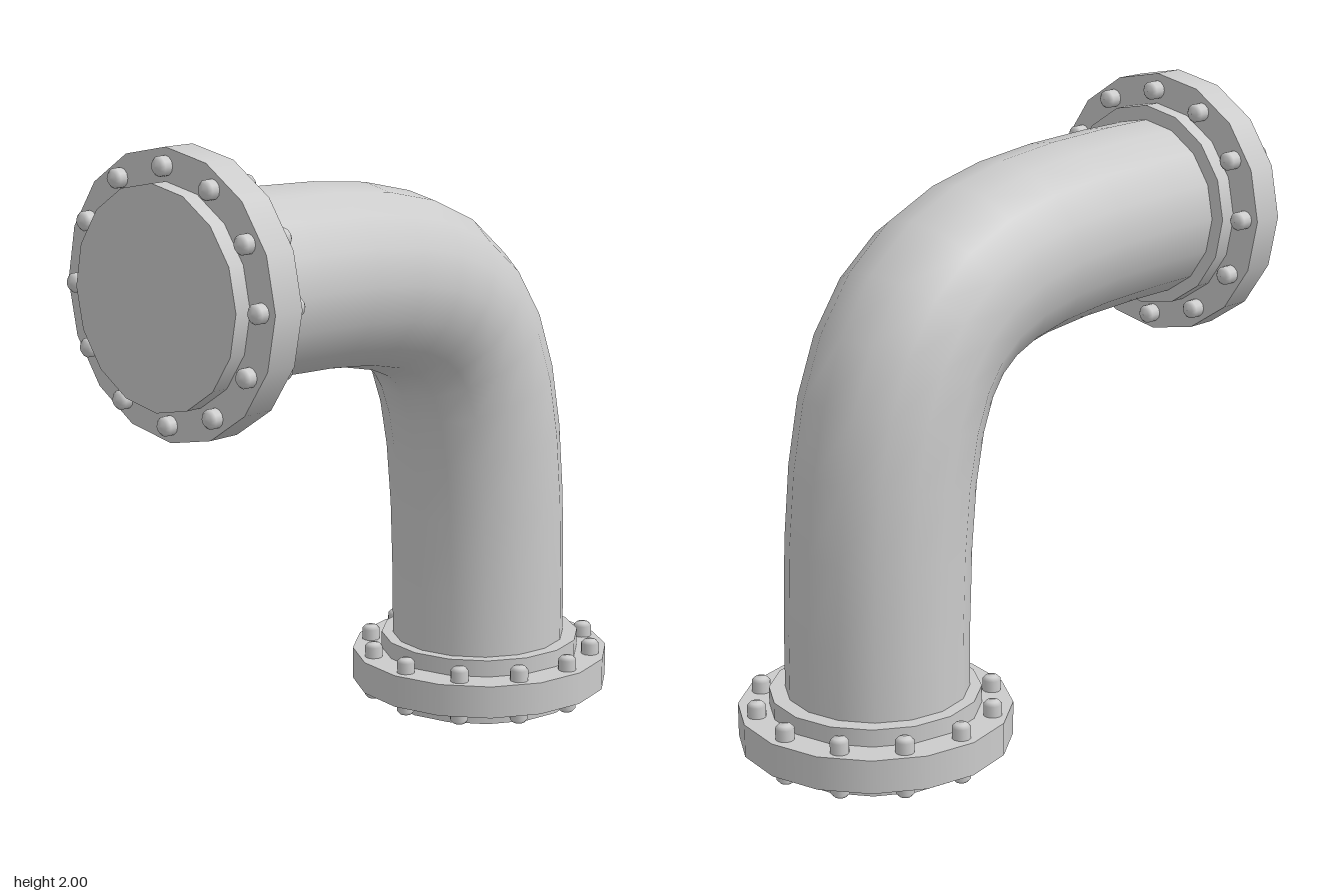
import * as THREE from 'three';

const SIDES = 16;
const BOLTS = 12;
const material = new THREE.MeshStandardMaterial({ color: 0xcccccc });

function addMesh(parent, name, geometry) {
  const mesh = new THREE.Mesh(geometry, material);
  mesh.name = name;
  parent.add(mesh);
  return mesh;
}

// Flange with its outer face at y = 0, extending towards +y
function createFlange(name) {
  const flange = new THREE.Group();
  flange.name = name;

  addMesh(flange, 'hub', new THREE.CylinderGeometry(0.335, 0.335, 0.22, SIDES)).position.y = 0.11;
  addMesh(flange, 'disc', new THREE.CylinderGeometry(0.434, 0.434, 0.108, SIDES)).position.y = 0.11;

  // Through bolts with rounded heads on both faces
  const profile = [
    [0, -0.1], [0.02, -0.096], [0.03, -0.085],
    [0.03, 0.085], [0.02, 0.096], [0, 0.1],
  ].map(([r, y]) => new THREE.Vector2(r, y));
  const boltGeometry = new THREE.LatheGeometry(profile, 12);
  for (let i = 0; i < BOLTS; i++) {
    const a = (i / BOLTS) * Math.PI * 2;
    addMesh(flange, 'bolt', boltGeometry)
      .position.set(Math.sin(a) * 0.38, 0.115, Math.cos(a) * 0.38);
  }
  return flange;
}

export function createModel() {
  const model = new THREE.Group();
  model.name = 'pipeElbow';

  // Pipe sweeping from the front flange down to the base flange
  const path = new THREE.CubicBezierCurve3(
    new THREE.Vector3(0, 1.563, 0.85),
    new THREE.Vector3(0, 1.563, -0.41),
    new THREE.Vector3(0, 1.48, -0.512),
    new THREE.Vector3(0, 0.11, -0.512),
  );
  // Sample by curve parameter, so the bend gets the shorter segments
  path.getPointAt = path.getPoint;
  path.getTangentAt = path.getTangent;
  addMesh(model, 'pipe', new THREE.TubeGeometry(path, 12, 0.291, SIDES, false));

  const base = createFlange('baseFlange');
  base.position.z = -0.52;
  model.add(base);

  const front = createFlange('frontFlange');
  front.position.set(0, 1.566, 0.957);
  front.rotation.x = -Math.PI / 2;
  model.add(front);

  return model;
}
